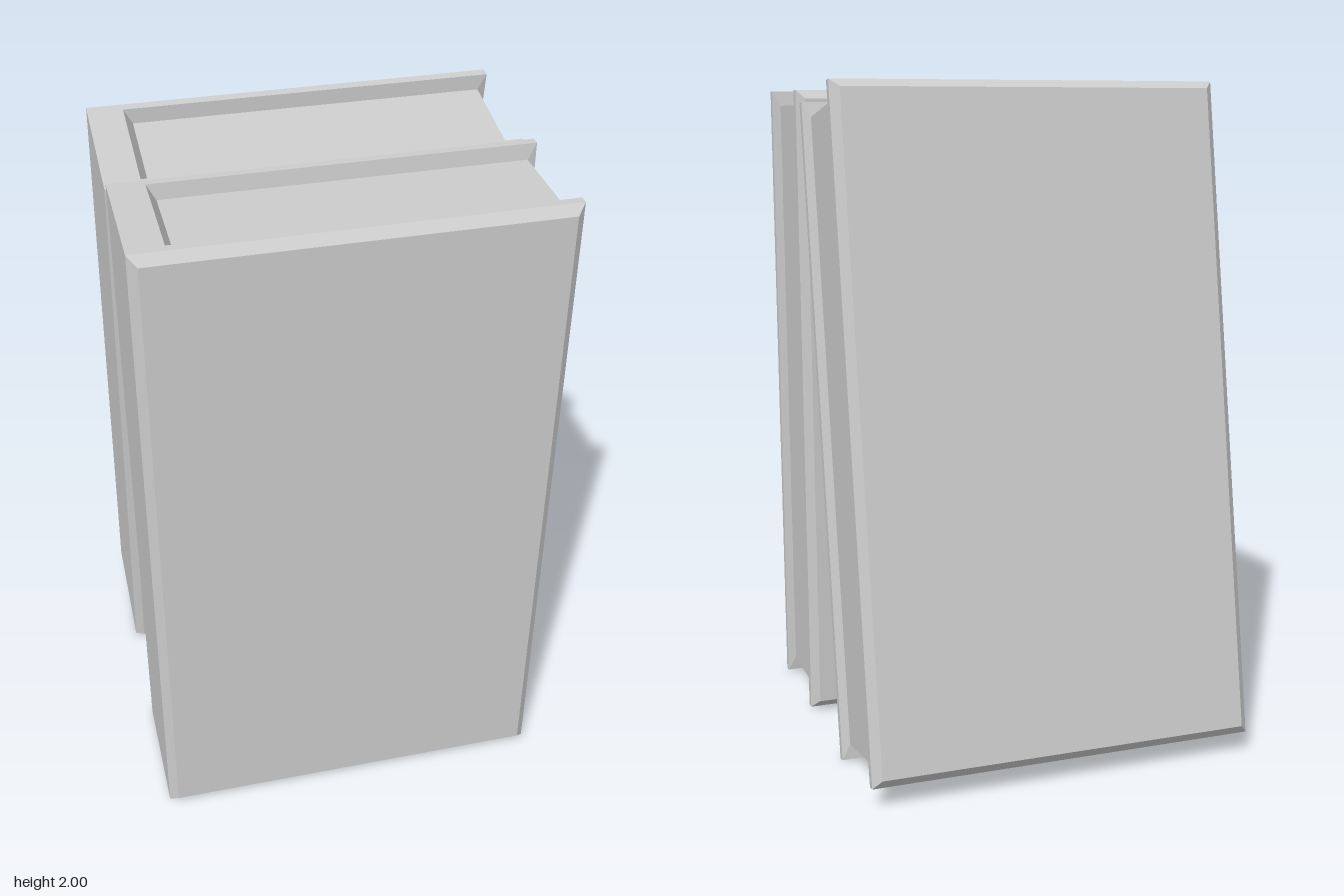
import * as THREE from 'three';

const W = 0.585;       // half width
const H = 0.983;       // half height
const D = 0.2135;      // half thickness
const BEVEL = 0.025;   // outer edge bevel
const RIM = 0.163;     // inner rim of the cover boards (half distance)
const INNER = 0.157;   // inner face of the cover boards (half distance)
const INSET = 0.045;   // how far the pages sit below the board edges

const material = new THREE.MeshStandardMaterial({ color: 0xcccccc, flatShading: true });

function addMesh(group, name, geometry) {
  const mesh = new THREE.Mesh(geometry, material);
  mesh.name = name;
  group.add(mesh);
  return mesh;
}

// Closed solid through rectangular sections { z, x0, x1, y }, ordered by rising z
function loftRectangles(sections) {
  const rings = sections.map(({ z, x0, x1, y }) => [[x0, -y, z], [x1, -y, z], [x1, y, z], [x0, y, z]]);
  const pos = [];
  const quad = (a, b, c, d) => pos.push(...a, ...b, ...c, ...a, ...c, ...d);
  for (let r = 0; r < rings.length - 1; r++) {
    for (let i = 0; i < 4; i++) {
      const j = (i + 1) % 4;
      quad(rings[r][i], rings[r][j], rings[r + 1][j], rings[r + 1][i]);
    }
  }
  const [a, b, c, d] = rings[0];
  quad(d, c, b, a);
  quad(...rings[rings.length - 1]);
  const geometry = new THREE.BufferGeometry();
  geometry.setAttribute('position', new THREE.Float32BufferAttribute(pos, 3));
  geometry.computeVertexNormals();
  return geometry;
}

function createBook(name) {
  const book = new THREE.Group();
  book.name = name;

  // Cover boards: bevelled outside, slightly tapered towards the pages
  const board = loftRectangles([
    { z: INNER, x0: -W, x1: W - BEVEL, y: H - INSET },
    { z: RIM, x0: -W, x1: W, y: H },
    { z: D - BEVEL, x0: -W, x1: W, y: H },
    { z: D, x0: -W + BEVEL, x1: W - BEVEL, y: H - BEVEL },
  ]);
  addMesh(book, 'frontCover', board);
  addMesh(book, 'backCover', board).rotation.x = Math.PI;

  // Spine: sloped on the inside down to the pages
  const profile = new THREE.Shape([
    [-W, -H], [-0.485, -H], [-0.46, -H + INSET], [-0.46, H - INSET], [-0.485, H], [-W, H],
  ].map(([x, y]) => new THREE.Vector2(x, y)));
  const spine = new THREE.ExtrudeGeometry(profile, { depth: 2 * RIM, bevelEnabled: false });
  spine.translate(0, 0, -RIM);
  addMesh(book, 'spine', spine);

  // Page block
  const left = -0.47, right = W - BEVEL;
  const pages = new THREE.BoxGeometry(right - left, 2 * (H - INSET), 2 * INNER);
  pages.translate((left + right) / 2, 0, 0);
  addMesh(book, 'pages', pages);
  return book;
}

export function createModel() {
  const model = new THREE.Group();
  model.name = 'books';

  const upright = createBook('uprightBook');
  upright.position.set(0, 0.993, 0.38);

  // Second book leans against the first
  const leaning = createBook('leaningBook');
  leaning.position.set(0, 1, -0.219);
  leaning.rotation.x = THREE.MathUtils.degToRad(10);

  model.add(upright, leaning);
  return model;
}
